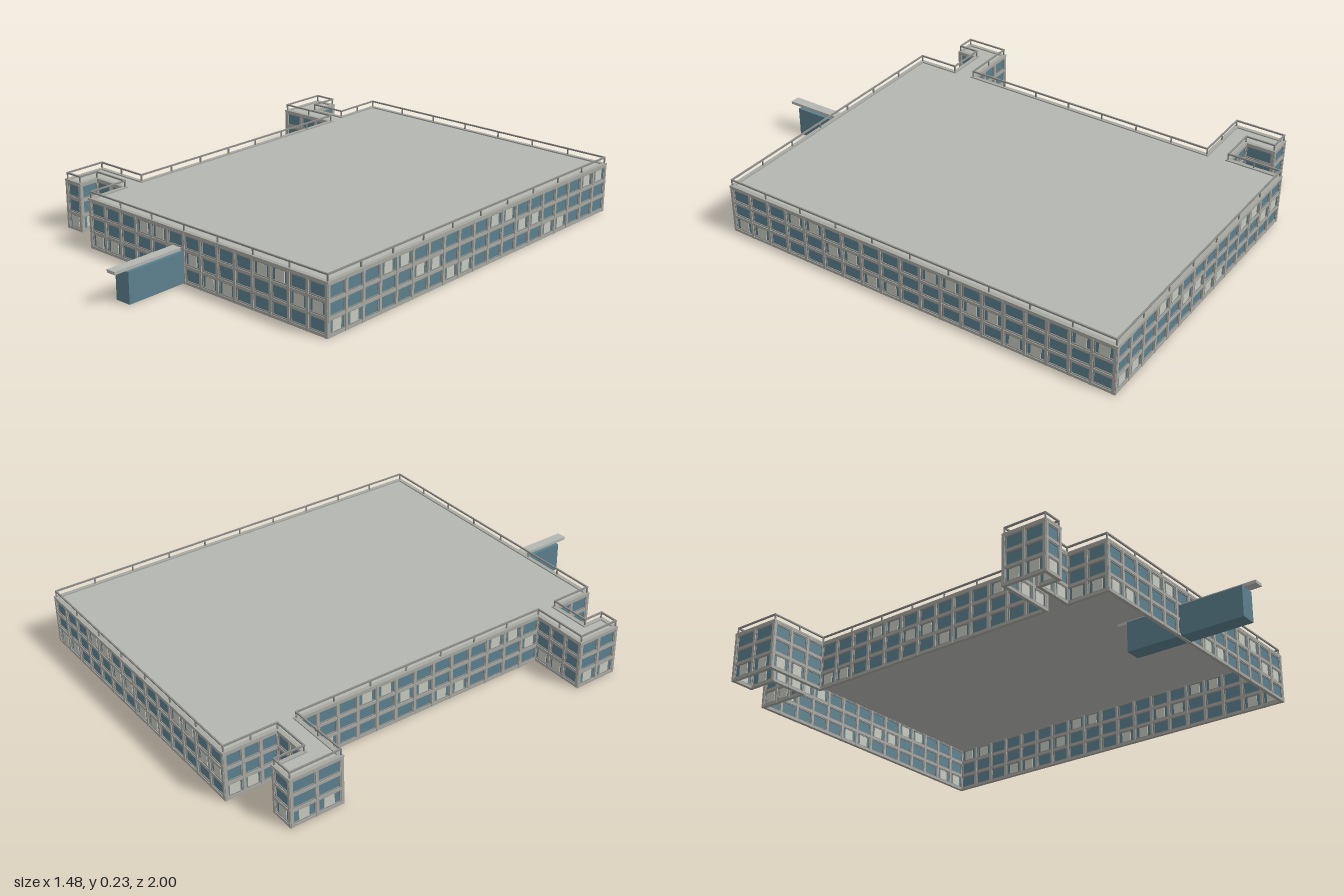
import * as THREE from 'three';
import { mergeGeometries } from 'three/addons/utils/BufferGeometryUtils.js';

// Footprint corners [x, z], anticlockwise seen from above, starting at the front wall
const FOOTPRINT = [
  [-0.48, 0.68], [0.715, 0.69], [0.733, -0.977], [-0.487, -0.987],
  [-0.487, -0.77], [-0.645, -0.77], [-0.645, -0.89], [-0.735, -0.89],
  [-0.735, -0.685], [-0.476, -0.685], [-0.486, 0.42], [-0.72, 0.42],
  [-0.72, 0.595], [-0.645, 0.595], [-0.645, 0.51], [-0.48, 0.51],
];
const BAY = 0.0865, FLOOR = 0.063, FLOORS = 3, BASE = 0.005;
const EAVES = BASE + FLOOR * FLOORS;
const RAIL_TOP = 0.23;

const mat = (color, side = THREE.FrontSide) =>
  new THREE.MeshStandardMaterial({ color, side, flatShading: true });

export function createModel() {
  const model = new THREE.Group();
  const parts = {
    glassWalls: { material: mat(0x5b7f8c, THREE.DoubleSide), list: [] },
    blindPanels: { material: mat(0xc6c8be), list: [] },
    concreteFrame: { material: mat(0xa6a7a1), list: [] },
    windowFrames: { material: mat(0x8b8d89), list: [] },
    roofRailing: { material: mat(0x8b8c88), list: [] },
  };

  FOOTPRINT.forEach(([ax, az], k) => {
    const [bx, bz] = FOOTPRINT[(k + 1) % FOOTPRINT.length];
    const length = Math.hypot(bx - ax, bz - az);
    const bays = Math.max(1, Math.round(length / BAY));
    const bay = length / bays;
    // Wall space: x runs along the wall, z points outwards
    const place = new THREE.Matrix4()
      .makeRotationY(Math.atan2(az - bz, bx - ax)).setPosition(ax, 0, az);
    const box = (part, w, h, d, x, y, z = 0) => parts[part].list.push(
      new THREE.BoxGeometry(w, h, d).translate(x, y, z).applyMatrix4(place));

    // Continuous glazing
    parts.glassWalls.list.push(new THREE.PlaneGeometry(length, EAVES - BASE)
      .translate(length / 2, (EAVES + BASE) / 2, 0).applyMatrix4(place));

    // Floor bands, and a rim round the roof
    for (let f = 0; f <= FLOORS; f++) {
      const y = BASE + f * FLOOR;
      box('concreteFrame', length + 0.012, 0.011, 0.014, length / 2, f ? y : y + 0.0005);
    }
    box('concreteFrame', length + 0.016, 0.008, 0.016, length / 2, EAVES + 0.005);

    // Piers, window frames and blind panels
    for (let i = 0; i <= bays; i++) {
      box('concreteFrame', 0.011, EAVES, 0.016, i * bay, EAVES / 2);
      if (i === bays) break;
      for (let f = 0; f < FLOORS; f++) {
        const x = (i + 0.5) * bay, y = BASE + (f + 0.5) * FLOOR;
        for (const s of [-1, 1]) {
          box('windowFrames', 0.004, FLOOR - 0.011, 0.008, x + s * (bay / 2 - 0.0075), y);
          box('windowFrames', bay - 0.011, 0.004, 0.008, x, y + s * (FLOOR / 2 - 0.0075));
        }
        if ((i + 2 * f) % 7 < 2) box('blindPanels', 0.042, 0.042, 0.006, x, y);
      }
    }

    // Railing with a post at every second bay
    box('roofRailing', length + 0.006, 0.006, 0.006, length / 2, RAIL_TOP - 0.003);
    const spans = Math.max(1, Math.round(bays / 2));
    for (let i = 0; i < spans; i++) {
      box('roofRailing', 0.005, RAIL_TOP - EAVES, 0.005,
        i * length / spans, (RAIL_TOP + EAVES) / 2);
    }
  });

  for (const [name, { material, list }] of Object.entries(parts)) {
    const mesh = new THREE.Mesh(mergeGeometries(list), material);
    mesh.name = name;
    model.add(mesh);
  }

  // Flat roof, the building being open underneath
  const outline = new THREE.Shape(FOOTPRINT.map(([x, z]) => new THREE.Vector2(x, -z)));
  const roof = new THREE.Mesh(
    new THREE.ExtrudeGeometry(outline, { depth: 0.008, bevelEnabled: false })
      .rotateX(-Math.PI / 2).translate(0, EAVES - 0.004, 0), mat(0xb4b6b0));
  roof.name = 'roof';
  model.add(roof);

  // Entrance lobby running through the front wall, with a longer canopy
  const block = (name, color, w, h, d, y, z) => {
    const mesh = new THREE.Mesh(new THREE.BoxGeometry(w, h, d), mat(color));
    mesh.name = name;
    mesh.position.set(-0.003, y, z);
    model.add(mesh);
  };
  block('entranceLobby', 0x5b7f8c, 0.068, 0.122, 0.49, 0.063, 0.705);
  block('entranceCanopy', 0xb4b6b0, 0.04, 0.012, 0.59, 0.13, 0.705);

  return model;
}
